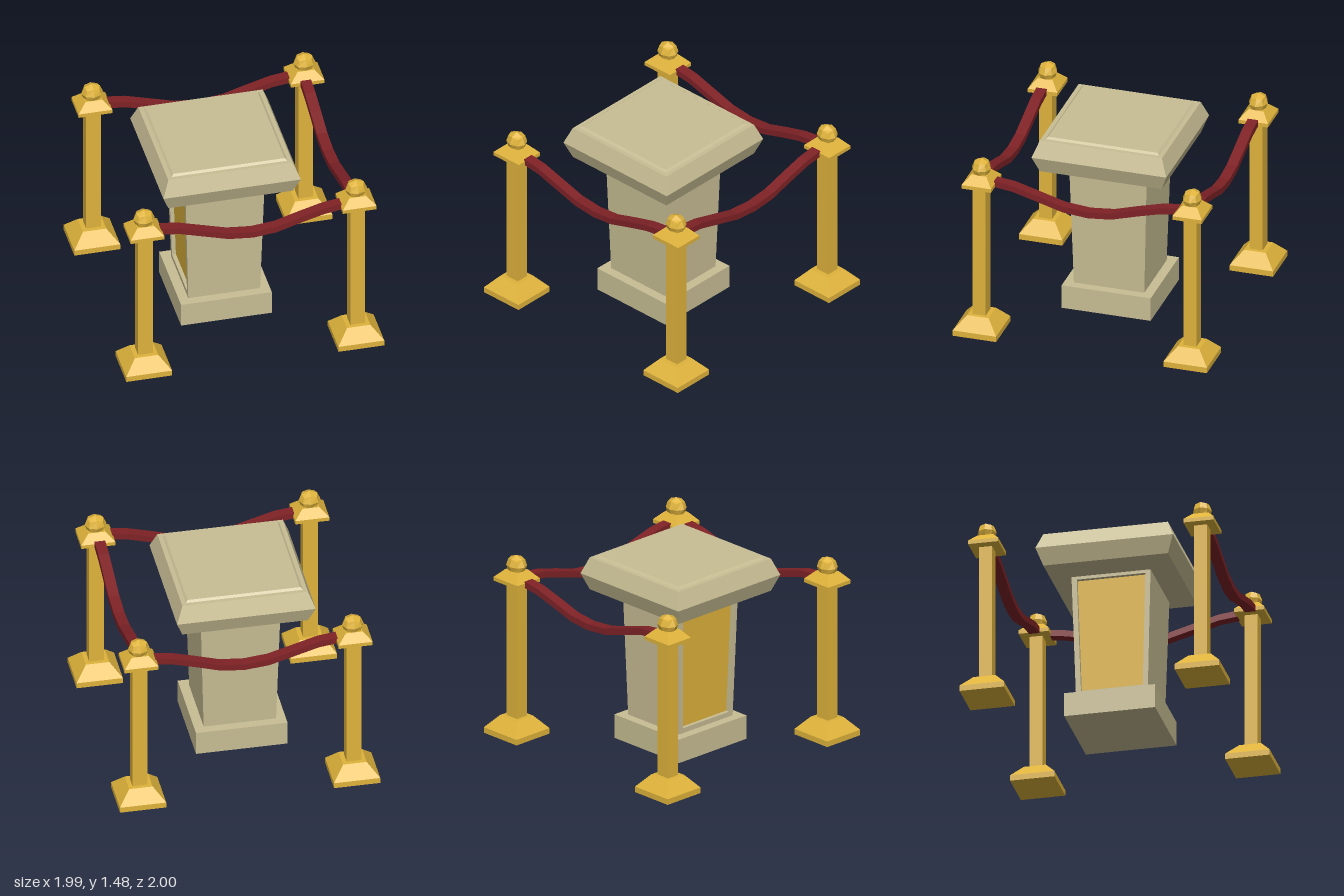
import * as THREE from 'three';

const mat = (color) => new THREE.MeshStandardMaterial({ color, flatShading: true });
const stone = mat(0xc8be94), gold = mat(0xdfb33b), velvet = mat(0x7f2226);

// Skins a stack of four-cornered rings; caps and single sides can be left out
function loft(rings, { start = true, end = true, skip = -1 } = {}) {
  const pos = [];
  const quad = (a, b, c, d) => [a, b, c, a, c, d].forEach((p) => pos.push(...p));
  for (let r = 0; r + 1 < rings.length; r++) {
    for (let i = 0; i < 4; i++) {
      if (i === skip) continue;
      const j = (i + 1) % 4;
      quad(rings[r][i], rings[r][j], rings[r + 1][j], rings[r + 1][i]);
    }
  }
  if (start) quad(...[...rings[0]].reverse());
  if (end) quad(...rings[rings.length - 1]);
  const geo = new THREE.BufferGeometry();
  geo.setAttribute('position', new THREE.Float32BufferAttribute(pos, 3));
  geo.computeVertexNormals();
  return geo;
}

// Horizontal rectangle at height y with half sizes hx, hz
const rect = ([y, hx, hz = hx]) => [[-hx, y, hz], [hx, y, hz], [hx, y, -hz], [-hx, y, -hz]];

function add(parent, name, geo, material) {
  const mesh = new THREE.Mesh(geo, material);
  mesh.name = name;
  parent.add(mesh);
  return mesh;
}

function pedestal() {
  const g = new THREE.Group();
  g.name = 'pedestal';
  add(g, 'plinth', loft([[0, 0.35], [0.19, 0.35]].map(rect)), stone);

  // Tapered column, its right side open for the recessed panel
  const y0 = 0.19, y1 = 1.18, h0 = 0.277, h1 = 0.305;
  add(g, 'column', loft([[y0, h0], [y1, h1]].map(rect), { skip: 3 }), stone);
  const half = (y) => THREE.MathUtils.mapLinear(y, y0, y1, h0, h1);
  const sideRing = (low, high, margin, depth) =>
    [[-1, low], [1, low], [1, high], [-1, high]].map(([s, y]) =>
      [depth - half(y), y, s * (half(y) - margin)]);
  const outer = sideRing(y0, y1, 0, 0);
  const inner = sideRing(y0 + 0.04, y1 - 0.04, 0.04, 0);
  const deep = sideRing(y0 + 0.04, y1 - 0.04, 0.04, 0.03);
  add(g, 'panelFrame', loft([outer, inner, deep], { start: false, end: false }), stone);
  add(g, 'panel', loft([deep], { start: false }), gold);

  // Bevelled top with a raised inner field
  add(g, 'top', loft([
    [1.165, 0.305], [1.2, 0.48], [1.33, 0.53], [1.46, 0.48],
    [1.46, 0.447], [1.475, 0.43],
  ].map(([y, h]) => rect([y, h]))), stone);
  g.position.set(-0.07, 0, 0.02);
  return g;
}

function post(x, z) {
  const g = new THREE.Group();
  g.name = 'post';
  add(g, 'foot', loft([[0.02, 0.177, 0.171], [0.065, 0.177, 0.171], [0.165, 0.09, 0.085]].map(rect)), gold);
  add(g, 'shaft', loft([[0.16, 0.057, 0.051], [1.26, 0.057, 0.051]].map(rect)), gold);
  add(g, 'collar', loft([[1.25, 0.13, 0.116], [1.28, 0.13, 0.116], [1.345, 0.065, 0.06]].map(rect)), gold);

  // Faceted knob: a divided box pushed out to a ball
  const ball = new THREE.BoxGeometry(1, 1, 1, 2, 2, 2);
  const p = ball.attributes.position, v = new THREE.Vector3();
  for (let i = 0; i < p.count; i++) {
    v.fromBufferAttribute(p, i).normalize();
    p.setXYZ(i, v.x * 0.084, v.y * 0.08, v.z * 0.074);
  }
  ball.computeVertexNormals();
  add(g, 'knob', ball, gold).position.y = 1.383;
  g.position.set(x, 0, z);
  return g;
}

// Sagging rope of rectangular section, running along x
function rope(length) {
  const path = [[-0.5, 1.272], [-0.4, 1.255], [-0.265, 1.2], [-0.125, 1.143], [0.01, 1.125],
    [0.14, 1.143], [0.275, 1.2], [0.405, 1.25], [0.5, 1.268]];
  const edge = (dy) => path.map(([t, y]) => new THREE.Vector2(t * length, y + dy));
  const shape = new THREE.Shape([...edge(-0.025), ...edge(0.025).reverse()]);
  const geo = new THREE.ExtrudeGeometry(shape, { depth: 0.082, bevelEnabled: false });
  return geo.translate(0, 0, -0.041);
}

export function createModel() {
  const model = new THREE.Group();
  model.name = 'ropedPedestal';
  model.add(pedestal());
  for (const x of [-0.818, 0.818]) for (const z of [-0.829, 0.829]) model.add(post(x, z));

  // Ropes on three sides; the right side stays open
  add(model, 'frontRope', rope(1.39), velvet).position.z = 0.838;
  add(model, 'backRope', rope(1.39), velvet).position.z = -0.825;
  const side = add(model, 'sideRope', rope(1.445), velvet);
  side.rotation.y = Math.PI / 2;
  side.position.x = 0.805;
  return model;
}
